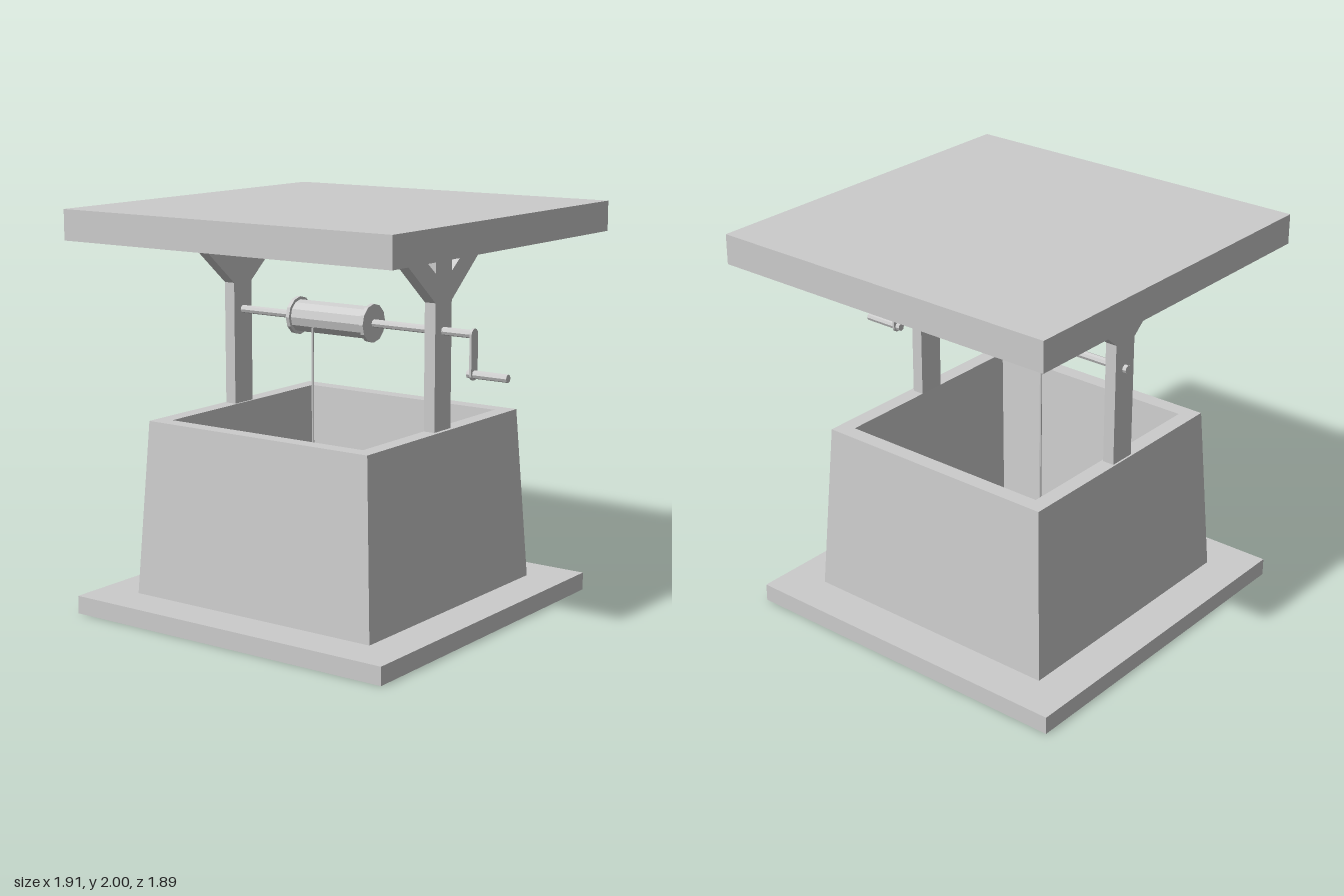
import * as THREE from 'three';

const CX = -0.04, CZ = 0.02; // axis of the well

export function createModel() {
  const model = new THREE.Group();
  model.name = 'waterWell';
  const flat = new THREE.MeshStandardMaterial({ color: 0xcccccc, flatShading: true, side: THREE.DoubleSide });

  const add = (name, geometry, x, y, z, parent = model) => {
    const mesh = new THREE.Mesh(geometry, flat);
    mesh.name = name;
    mesh.position.set(x, y, z);
    parent.add(mesh);
    return mesh;
  };

  // Square shell from [half width, height] pairs
  const squareShell = (profile) => {
    const points = profile.map(([half, y]) => new THREE.Vector2(half * Math.SQRT2, y));
    const geometry = new THREE.LatheGeometry(points, 4).rotateY(Math.PI / 4).toNonIndexed();
    geometry.computeVertexNormals();
    return geometry;
  };

  // Cylinder lying along x between two ends
  const rod = (name, x0, x1, y, radius, sides, parent) =>
    add(name, new THREE.CylinderGeometry(radius, radius, x1 - x0, sides).rotateZ(Math.PI / 2),
      (x0 + x1) / 2, y, CZ, parent);

  // Plinth, open underneath
  add('plinth', squareShell([[0.91, 0], [0.91, 0.09], [0.7, 0.09]]), CX, 0, CZ);

  // Tapered wall with an inner shaft and floor
  add('wellWall', squareShell([[0.7, 0.09], [0.65, 0.96], [0.57, 0.96], [0.52, 0.13], [0, 0.13]]), CX, 0, CZ);

  // Roof slab with a shallow recess below
  add('roof', squareShell([[0, 1.9], [0.9, 1.9], [0.9, 1.85], [0.945, 1.85], [0.945, 2], [0, 2]]), -0.015, 0, 0);

  // Posts with a forked pair of braces
  const half = [[0.07, 0.96], [0.07, 1.58], [0.32, 1.79], [0.54, 1.9], [0.3, 1.9], [0.07, 1.72], [0.07, 1.9]];
  const outline = [...half, ...half.map(([z, y]) => [-z, y]).reverse()];
  const postShape = new THREE.Shape(outline.map(([z, y]) => new THREE.Vector2(z, y)));
  const postGeometry = new THREE.ExtrudeGeometry(postShape, { depth: 0.06, bevelEnabled: false })
    .translate(0, 0, -0.03).rotateY(-Math.PI / 2);
  add('rightPost', postGeometry, -0.65, 0, CZ);
  add('leftPost', postGeometry, 0.56, 0, CZ);

  // Windlass: axle, drum and its flanges
  const windlass = new THREE.Group();
  windlass.name = 'windlass';
  model.add(windlass);
  rod('axle', -0.7, 0.76, 1.44, 0.02, 8, windlass);
  rod('drum', -0.27, 0.18, 1.44, 0.08, 12, windlass);
  rod('rightFlange', -0.275, -0.255, 1.44, 0.095, 12, windlass);
  rod('leftFlange', 0.17, 0.19, 1.44, 0.095, 12, windlass);

  // Rope hanging off the front of the drum
  add('rope', new THREE.CylinderGeometry(0.006, 0.006, 1.26, 6), -0.12, 0.77, 0.1);

  // Crank arm with round ends, and its handle
  const armShape = new THREE.Shape();
  armShape.absarc(0, 1.44, 0.028, 0, Math.PI);
  armShape.absarc(0, 1.25, 0.028, Math.PI, Math.PI * 2);
  const arm = new THREE.ExtrudeGeometry(armShape, { depth: 0.012, bevelEnabled: false, curveSegments: 6 })
    .rotateY(-Math.PI / 2);
  add('crankArm', arm, 0.765, 0, CZ, windlass);
  rod('crankHandle', 0.73, 0.95, 1.25, 0.02, 8, windlass);

  return model;
}
